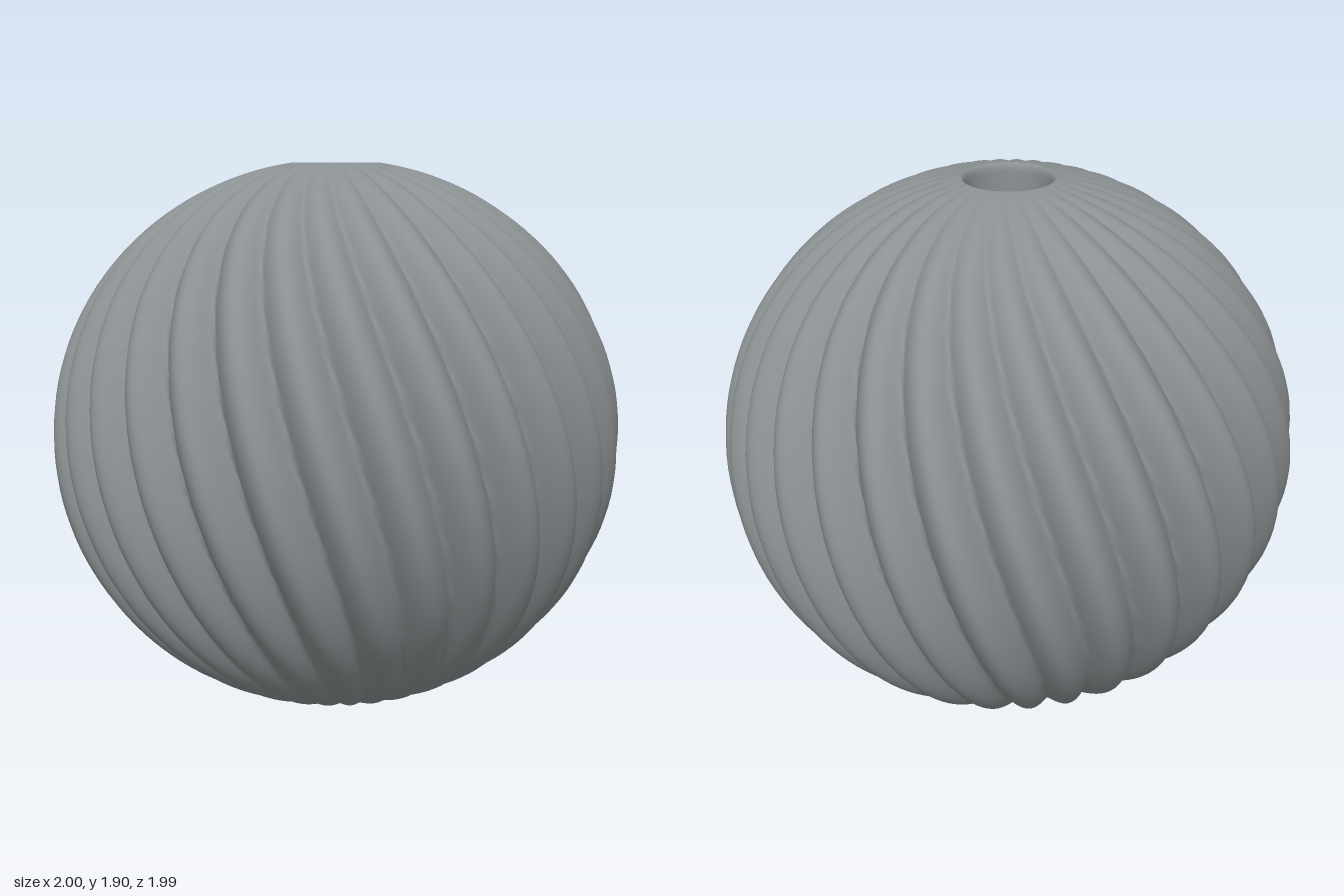
import * as THREE from 'three';
import { mergeVertices } from 'three/addons/utils/BufferGeometryUtils.js';

const RIBS = 30;        // number of lobes around the bead
const RADIUS = 0.965;   // core sphere
const RIM = 0.16;       // where the sphere meets the bore
const BORE = 0.145;
const TWIST = 0.3;      // rib turn per radian of latitude
const MAX_LAT = Math.acos(RIM / RADIUS);
const HALF = RADIUS * Math.sin(MAX_LAT);

// Join the lathe seam so that the normals run smoothly all round
function smooth(geometry) {
  geometry.deleteAttribute('uv');
  geometry.deleteAttribute('normal');
  const merged = mergeVertices(geometry, 1e-5);
  merged.computeVertexNormals();
  return merged;
}

// Sphere with rounded ribs that spiral round it and fade towards the bore
function ribbedShell() {
  const profile = [];
  const rows = 64;
  for (let i = 0; i <= rows; i++) {
    const lat = MAX_LAT * (2 * i / rows - 1);
    profile.push(new THREE.Vector2(RADIUS * Math.cos(lat), RADIUS * Math.sin(lat)));
  }
  const geometry = smooth(new THREE.LatheGeometry(profile, RIBS * 12));
  const pos = geometry.attributes.position;
  const p = new THREE.Vector3();
  const edge = Math.cos(MAX_LAT) ** 2;
  for (let i = 0; i < pos.count; i++) {
    p.fromBufferAttribute(pos, i);
    const lat = Math.asin(p.y / RADIUS);
    const angle = Math.atan2(-p.z, p.x);
    const fade = (Math.cos(lat) ** 2 - edge) / (1 - edge);
    const lobe = Math.abs(Math.cos(RIBS / 2 * (angle + TWIST * lat)));
    p.setLength(RADIUS + fade * (0.09 * lobe - 0.055));
    pos.setXYZ(i, p.x, p.y, p.z);
  }
  geometry.computeVertexNormals();
  return geometry;
}

// Inner wall with softened rims, running from top to bottom so it faces inwards
function boreWall() {
  const top = [[RIM, HALF], [0.152, HALF - 0.004], [0.147, HALF - 0.014], [BORE, HALF - 0.03], [BORE, HALF - 0.08]];
  const bottom = top.map(([r, y]) => [r, -y]).reverse();
  const profile = [...top, ...bottom].map(([r, y]) => new THREE.Vector2(r, y));
  return smooth(new THREE.LatheGeometry(profile, 72));
}

export function createModel() {
  const grey = new THREE.MeshStandardMaterial({ color: 0x8b9092 });
  grey.name = 'stone grey';

  const bead = new THREE.Group();
  bead.name = 'melonBead';
  const add = (name, geometry) => {
    const mesh = new THREE.Mesh(geometry, grey);
    mesh.name = name;
    mesh.position.y = HALF;
    bead.add(mesh);
  };
  add('ribbedShell', ribbedShell());
  add('bore', boreWall());
  return bead;
}
